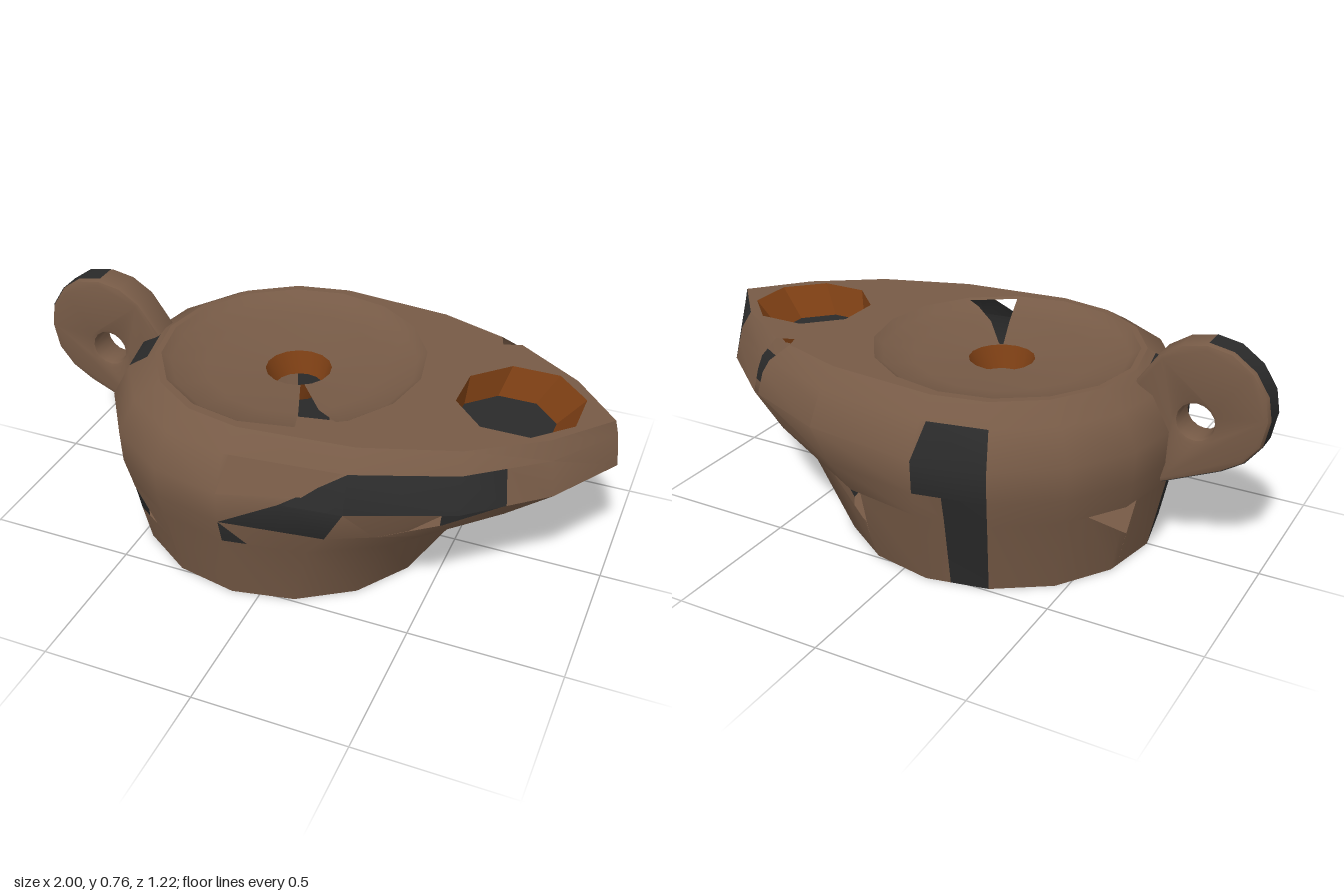
import * as THREE from 'three';
import { toCreasedNormals } from 'three/addons/utils/BufferGeometryUtils.js';

const clay = new THREE.MeshStandardMaterial({ color: 0x765a46, side: THREE.DoubleSide });
const soot = new THREE.MeshStandardMaterial({ color: 0x2a2a2a, side: THREE.DoubleSide });
const ember = new THREE.MeshStandardMaterial({ color: 0x7d3f14, side: THREE.DoubleSide });

// Cut a convex polygon by the line a-b into [left, right] pieces.
function cut(poly, a, b) {
  const side = p => (b[0] - a[0]) * (p[1] - a[1]) - (b[1] - a[1]) * (p[0] - a[0]);
  const left = [], right = [];
  poly.forEach((p, i) => {
    const q = poly[(i + 1) % poly.length], sp = side(p), sq = side(q);
    if (sp >= -1e-9) left.push(p);
    if (sp <= 1e-9) right.push(p);
    if ((sp > 1e-9 && sq < -1e-9) || (sp < -1e-9 && sq > 1e-9)) {
      const t = sp / (sp - sq), m = [p[0] + (q[0] - p[0]) * t, p[1] + (q[1] - p[1]) * t];
      left.push(m);
      right.push(m);
    }
  });
  return [left, right];
}

// Split a polygon into the part inside a convex region and the pieces outside.
function split(poly, region) {
  const area = region.reduce((s, p, i) => {
    const q = region[(i + 1) % region.length];
    return s + p[0] * q[1] - q[0] * p[1];
  }, 0);
  const r = area < 0 ? [...region].reverse() : region;
  const outside = [];
  let inside = poly;
  for (let i = 0; i < r.length; i++) {
    const [l, o] = cut(inside, r[i], r[(i + 1) % r.length]);
    if (l.length < 3) return { inside: null, outside: [poly] };
    if (o.length > 2) outside.push(o);
    inside = l;
  }
  return { inside, outside };
}

// Surface through rings of points, with holes and sooty patches given in (sector, ring) units.
function skin(name, rings, { holes = [], patches = [], material = clay, crease = 0.75 } = {}) {
  const at = ([u, v]) => {
    const j = Math.min(Math.floor(v), rings.length - 2), n = rings[0].length - 1;
    const i = Math.min(Math.floor(u), n - 1);
    const row = k => rings[k][i].clone().lerp(rings[k][i + 1], u - i);
    return row(j).lerp(row(j + 1), v - j);
  };
  const plain = [], dark = [];
  for (let j = 0; j < rings.length - 1; j++) {
    for (let i = 0; i < rings[0].length - 1; i++) {
      let pieces = [[[i, j], [i + 1, j], [i + 1, j + 1], [i, j + 1]]];
      [...holes, ...patches].forEach((region, k) => {
        pieces = pieces.flatMap(p => {
          const s = split(p, region);
          if (s.inside && k >= holes.length) dark.push(s.inside);
          return s.outside;
        });
      });
      plain.push(...pieces);
    }
  }
  const tris = polys => polys.flatMap(p => {
    const out = [], w = p.map(at);
    for (let k = 1; k < w.length - 1; k++) {
      for (const c of [w[0], w[k + 1], w[k]]) out.push(c.x, c.y, c.z);
    }
    return out;
  });
  const a = tris(plain), b = tris(dark);
  let geo = new THREE.BufferGeometry();
  geo.setAttribute('position', new THREE.Float32BufferAttribute([...a, ...b], 3));
  geo = toCreasedNormals(geo, crease);
  const part = (label, from, to, mat) => {
    const g = new THREE.BufferGeometry();
    for (const key of ['position', 'normal']) {
      g.setAttribute(key, new THREE.Float32BufferAttribute(geo.getAttribute(key).array.slice(from, to), 3));
    }
    const m = new THREE.Mesh(g, mat);
    m.name = label;
    return m;
  };
  const group = new THREE.Group();
  group.name = name;
  group.add(part(name + 'Surface', 0, a.length, material));
  if (b.length) group.add(part(name + 'Soot', a.length, a.length + b.length, soot));
  return group;
}

// Ring of n sides; the spout stretches the first sectors toward +x.
const spout = [0.48, 0.38, 0.28, 0.16];
function ring(n, cx, r, y, stretch = 0, phase = 0) {
  return Array.from({ length: n + 1 }, (_, i) => {
    const a = (i + phase) / n * Math.PI * 2, k = Math.min(i, n - i);
    return new THREE.Vector3(cx + r * Math.cos(a) + (spout[k] ?? 0) * stretch, y, r * Math.sin(a));
  });
}

function mesh(name, geo, mat) {
  const m = new THREE.Mesh(geo, mat);
  m.name = name;
  return m;
}

const toPath = pts => new THREE.Path(pts.map(p => new THREE.Vector2(p.x, -p.z)));

export function createModel() {
  const lamp = new THREE.Group();
  lamp.name = 'oilLamp';

  // Broken, scorched body wall
  const wall = [
    ring(16, -0.09, 0.53, 0), ring(16, -0.09, 0.582, 0.25, 0.27), ring(16, -0.09, 0.605, 0.34, 0.635),
    ring(16, -0.09, 0.61, 0.45, 1), ring(16, -0.09, 0.55, 0.56, 1.1), ring(16, -0.08, 0.47, 0.61, 1.22),
  ];
  lamp.add(skin('body', wall, {
    holes: [
      [[4, 3], [3.95, 4], [3.05, 4], [3.33, 3.27]],
      [[6.1, 1], [6, 0.52], [5.5, 0.52]],
      [[2.24, 2.27], [1.55, 3], [2.15, 3]],
      [[13.75, 5], [14, 5], [14.08, 3.6], [13.95, 3.6]],
      [[13.95, 3.6], [14.08, 3.6], [13.9, 2.1]],
      [[13.5, 1], [12.85, 1], [12.95, 0.55]],
      [[9.6, 1], [8.75, 1], [8.8, 0.5]],
    ],
    patches: [
      [[4, 2], [3, 2], [3, 4]],
      [[3, 3], [1.5, 3], [1.5, 4], [3, 4]],
      [[4, 2], [4, 1], [3.7, 1]],
      [[0, 0], [1, 0], [1, 2], [0, 2]],
      [[15, 0], [16, 0], [16, 5], [15, 5]],
      [[6, 0], [8, 0], [8, 2], [6, 2]],
      [[7, 2], [8, 2], [8, 4.7], [7, 4.7]],
      [[11, 0], [11.6, 0], [11.6, 2], [11, 2]],
      [[11, 2], [12, 2], [12, 3], [11, 3]],
      [[11, 3], [12, 3], [11.9, 4], [11, 4]],
    ],
  }));

  // Underside
  const base = new THREE.CircleGeometry(0.53, 16).rotateX(Math.PI / 2).translate(-0.09, 0, 0);
  lamp.add(mesh('base', base, clay));

  // Flat deck with openings for dish and wick, chipped at the crack
  const dishRim = ring(16, -0.09, 0.44, 0.61), wickRim = ring(8, 0.68, 0.205, 0.61, 0, 0.5);
  const rim = wall[5].slice(0, 16);
  rim.splice(14, 0, rim[13].clone().lerp(rim[14], 0.75), new THREE.Vector3(0.535, 0.61, -0.31));
  const deck = new THREE.Shape(toPath(rim).getPoints());
  deck.holes.push(toPath(dishRim.slice(0, 16)), toPath(wickRim.slice(0, 8)));
  lamp.add(mesh('deck', new THREE.ShapeGeometry(deck).rotateX(-Math.PI / 2).translate(0, 0.61, 0), clay));

  // Sunken dish with a missing wedge, and the filling hole
  lamp.add(skin('dish', [
    dishRim, ring(16, -0.09, 0.41, 0.587), ring(16, -0.085, 0.3, 0.57), ring(16, -0.075, 0.11, 0.555),
  ], { holes: [[[3, 0.3], [2, 0.3], [2.55, 3], [2.85, 3]]] }));
  lamp.add(skin('fillingHole', [ring(16, -0.075, 0.11, 0.555), ring(16, -0.075, 0.083, 0.48)], { material: ember }));

  // Wick hole with a sooty floor
  const wickFloor = ring(8, 0.634, 0.165, 0.51, 0, 0.5);
  lamp.add(skin('wickHole', [wickRim, wickFloor], { material: ember, crease: 0.3 }));
  const floor = new THREE.CircleGeometry(0.165, 8, Math.PI / 8).rotateX(-Math.PI / 2).translate(0.634, 0.51, 0);
  lamp.add(mesh('wickFloor', floor, soot));

  // Ring handle
  const outline = [
    [-0.56, 0.585], [-0.64, 0.7], [-0.71, 0.745], [-0.79, 0.76], [-0.87, 0.745], [-0.94, 0.695], [-0.985, 0.625],
    [-0.998, 0.55], [-0.98, 0.46], [-0.93, 0.395], [-0.86, 0.35], [-0.67, 0.265], [-0.62, 0.3], [-0.6, 0.45],
  ].map(p => new THREE.Vector2(...p));
  const shape = new THREE.Shape(outline);
  shape.holes.push(new THREE.Path().absarc(-0.77, 0.5, 0.058, 0, Math.PI * 2, true));
  const handle = new THREE.ExtrudeGeometry(shape, {
    depth: 0.076, bevelThickness: 0.017, bevelSize: 0.017, bevelOffset: -0.017, bevelSegments: 2, curveSegments: 8,
  }).translate(0, 0, -0.038);
  lamp.add(mesh('handle', toCreasedNormals(handle, 0.6), clay));

  // Soot along the outer edge of the handle
  const edge = z => outline.slice(3, 12).map(p =>
    new THREE.Vector3(-0.79 + (p.x + 0.79) * 1.009, 0.54 + (p.y - 0.54) * 1.009, z));
  lamp.add(skin('handleEdge', [edge(-0.038), edge(0.038)], { material: soot }));
  return lamp;
}
